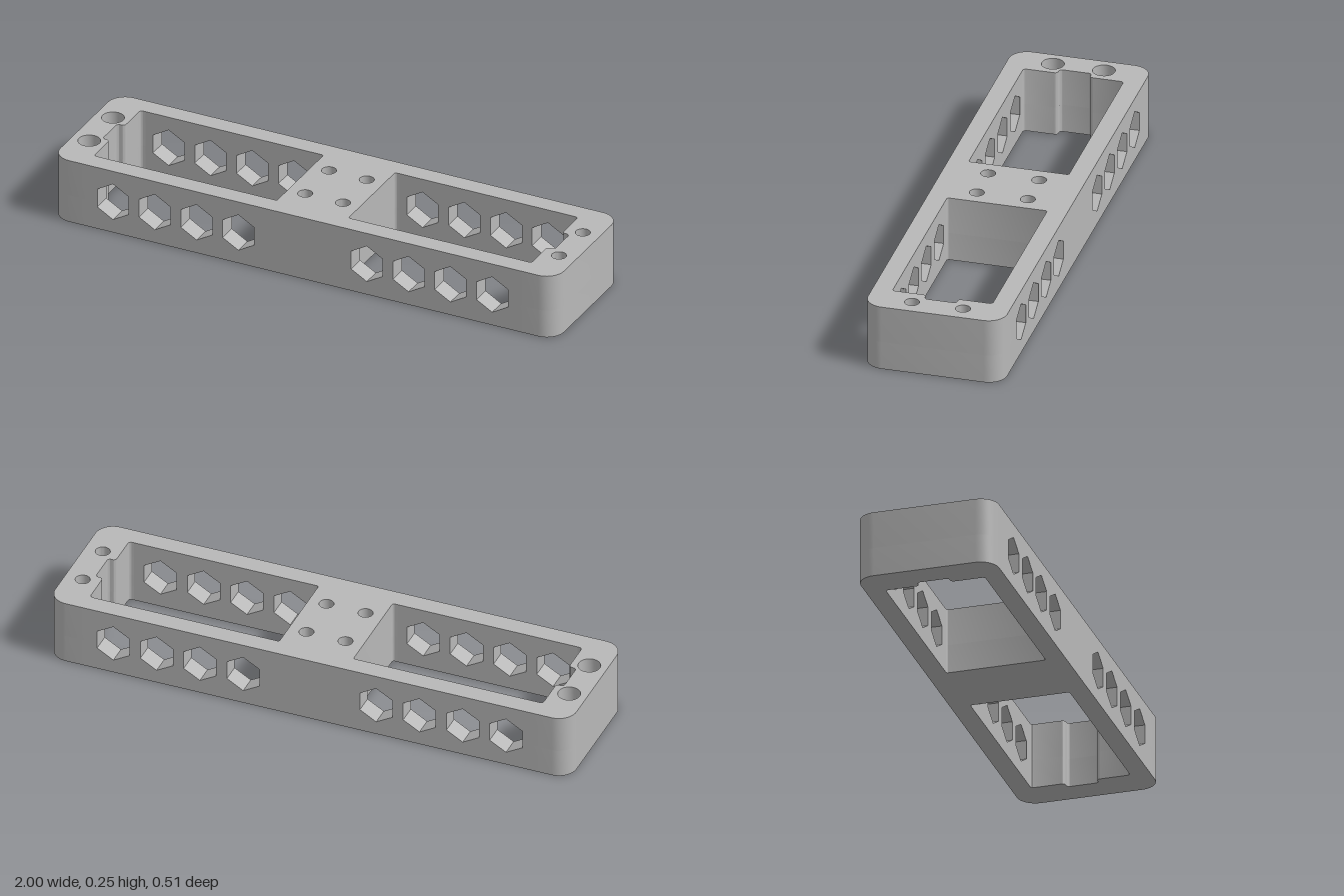
import * as THREE from 'three';
import { toCreasedNormals } from 'three/addons/utils/BufferGeometryUtils.js';

const HEIGHT = 0.248, HALF_DEPTH = 0.2565, INNER = 0.1845;
const HOLE_DEPTH = 0.14, HOLE_Z = 0.094;

// Closed outline from [x, z, corner radius] points
function roundedShape(points) {
  const shape = new THREE.Shape();
  const n = points.length;
  points.forEach(([x, y, r = 0], i) => {
    const p = new THREE.Vector2(x, y);
    const towards = (q, d) => new THREE.Vector2(q[0], q[1]).sub(p).setLength(d).add(p);
    const prev = points[(i + n - 1) % n], next = points[(i + 1) % n];
    const a = r ? towards(prev, r) : p, b = r ? towards(next, r) : p;
    if (i === 0) shape.moveTo(a.x, a.y);
    else shape.lineTo(a.x, a.y);
    if (r) {
      const c1 = towards(prev, r * 0.4477), c2 = towards(next, r * 0.4477);
      shape.bezierCurveTo(c1.x, c1.y, c2.x, c2.y, b.x, b.y);
    }
  });
  shape.closePath();
  return shape;
}

function extrude(shape, depth) {
  const geo = new THREE.ExtrudeGeometry(shape, { depth, bevelEnabled: false, curveSegments: 10 });
  return toCreasedNormals(geo, 0.6);
}

export function createModel() {
  const grey = new THREE.MeshStandardMaterial({ color: 0xb8b8b8 });
  grey.name = 'grey plastic';
  const model = new THREE.Group();
  model.name = 'mountingFrame';

  // Upright block with blind screw holes opening at the top
  function block(name, points, holes, radius) {
    const group = new THREE.Group();
    group.name = name;
    const base = extrude(roundedShape(points), HEIGHT - HOLE_DEPTH).rotateX(-Math.PI / 2);
    const drilled = roundedShape(points);
    for (const x of holes) {
      for (const z of [-HOLE_Z, HOLE_Z]) {
        drilled.holes.push(new THREE.Path().absarc(x, z, radius, 0, Math.PI * 2, true));
      }
    }
    const top = extrude(drilled, HOLE_DEPTH).rotateX(-Math.PI / 2).translate(0, HEIGHT - HOLE_DEPTH, 0);
    const baseMesh = new THREE.Mesh(base, grey);
    baseMesh.name = name + 'Base';
    const topMesh = new THREE.Mesh(top, grey);
    topMesh.name = name + 'Top';
    group.add(baseMesh, topMesh);
    model.add(group);
    return group;
  }

  // End blocks: rounded outside corners, cable notch on the inside
  const endOutline = [
    [0.85, -HALF_DEPTH], [1, -HALF_DEPTH, 0.068], [1, HALF_DEPTH, 0.068], [0.85, HALF_DEPTH],
    [0.85, INNER], [0.869, INNER, 0.012], [0.869, 0.059, 0.012], [0.898, 0.059, 0.012],
    [0.898, -0.059, 0.012], [0.869, -0.059, 0.012], [0.869, -INNER, 0.012], [0.85, -INNER],
  ];
  block('leftEnd', endOutline, [0.933], 0.027);
  block('rightEnd', endOutline, [0.933], 0.041).rotation.y = Math.PI;

  // Central bridge between the two windows
  block('centreBridge', [
    [-0.16, -HALF_DEPTH], [0.16, -HALF_DEPTH], [0.16, -INNER], [0.142, -INNER, 0.008],
    [0.142, INNER, 0.008], [0.16, INNER], [0.16, HALF_DEPTH], [-0.16, HALF_DEPTH],
    [-0.16, INNER], [-0.142, INNER, 0.008], [-0.142, -INNER, 0.008], [-0.16, -INNER],
  ], [-0.075, 0.075], 0.027);

  // Long walls with four hexagonal openings beside each window
  for (const [side, x0, x1, firstHex] of [['right', -0.85, -0.16, -0.757], ['left', 0.16, 0.85, 0.251]]) {
    const wall = roundedShape([[x0, 0], [x1, 0], [x1, HEIGHT], [x0, HEIGHT]]);
    for (let i = 0; i < 4; i++) {
      const hex = [];
      for (let k = 0; k < 6; k++) {
        const a = Math.PI / 2 - k * Math.PI / 3;
        hex.push(new THREE.Vector2(firstHex + i * 0.166 + 0.072 * Math.cos(a), HEIGHT / 2 + 0.072 * Math.sin(a)));
      }
      wall.holes.push(new THREE.Path(hex).closePath());
    }
    const geo = extrude(wall, HALF_DEPTH - INNER);
    for (const [end, z] of [['Front', INNER], ['Back', -HALF_DEPTH]]) {
      const mesh = new THREE.Mesh(geo, grey);
      mesh.name = side + end + 'Wall';
      mesh.position.z = z;
      model.add(mesh);
    }
  }
  return model;
}
